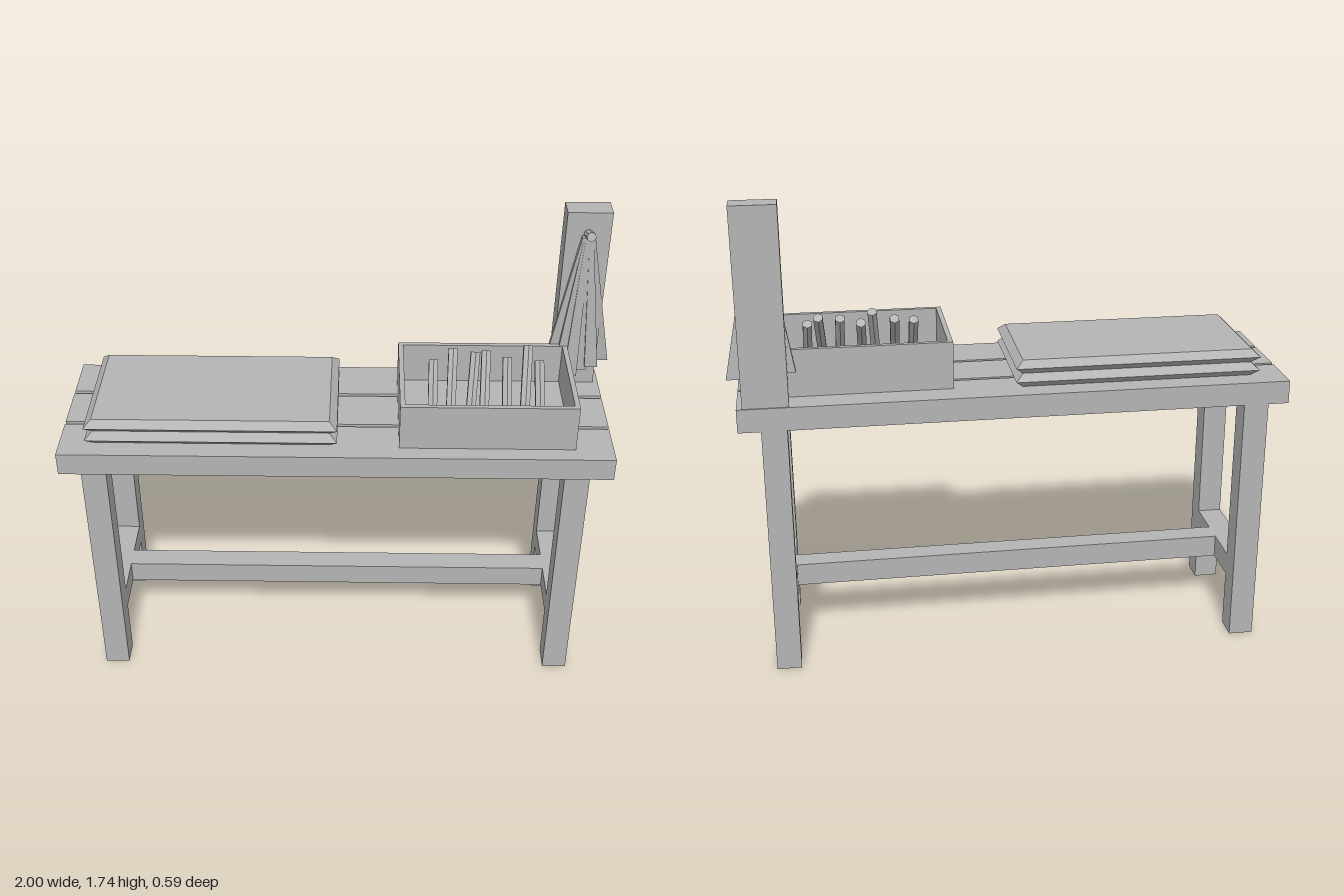
import * as THREE from 'three';

export function createModel() {
  const model = new THREE.Group();
  const grey = new THREE.MeshStandardMaterial({ color: 0xb4b4b4, flatShading: true });
  grey.name = 'plain grey';

  function add(name, geometry, parent = model) {
    const mesh = new THREE.Mesh(geometry, grey);
    mesh.name = name;
    parent.add(mesh);
    return mesh;
  }

  function group(name) {
    const g = new THREE.Group();
    g.name = name;
    model.add(g);
    return g;
  }

  // Box given by its limits on each axis
  function block(name, x0, x1, y0, y1, z0, z1, parent) {
    const mesh = add(name, new THREE.BoxGeometry(x1 - x0, y1 - y0, z1 - z0), parent);
    mesh.position.set((x0 + x1) / 2, (y0 + y1) / 2, (z0 + z1) / 2);
    return mesh;
  }

  // Leaning strip from a lower to an upper point, tapering in width
  function strip(name, low, high, lowWidth, highWidth, depth, parent) {
    const geo = new THREE.BoxGeometry(1, 1, depth);
    const p = geo.attributes.position;
    for (let i = 0; i < p.count; i++) {
      const t = p.getY(i) + 0.5;
      const mix = (k) => THREE.MathUtils.lerp(low[k], high[k], t);
      const width = THREE.MathUtils.lerp(lowWidth, highWidth, t);
      p.setXYZ(i, mix(0) + p.getX(i) * width, mix(1), mix(2) + p.getZ(i));
    }
    geo.computeVertexNormals();
    return add(name, geo, parent);
  }

  // Round stick between two points
  function stick(name, from, to, radius, sides, parent) {
    const a = new THREE.Vector3(...from);
    const b = new THREE.Vector3(...to);
    const dir = b.clone().sub(a);
    const mesh = add(name, new THREE.CylinderGeometry(radius, radius, dir.length(), sides), parent);
    mesh.position.copy(a).add(b).multiplyScalar(0.5);
    mesh.quaternion.setFromUnitVectors(new THREE.Vector3(0, 1, 0), dir.normalize());
    return mesh;
  }

  // Bench top: three planks with narrow gaps
  const top = group('benchTop');
  for (const [z0, z1] of [[-0.295, -0.11], [-0.095, 0.09], [0.105, 0.295]]) {
    block('plank', -1, 0.97, 0.945, 1.03, z0, z1, top);
  }

  // Legs, end stretchers and the long rail
  const frame = group('frame');
  for (const x of [-0.925, 0.8]) {
    block('frontLeg', x, x + 0.09, 0, 0.945, 0.18, 0.27, frame);
    block('backLeg', x, x + 0.09, 0, 0.945, -0.295, -0.205, frame);
    block('endStretcher', x, x + 0.09, 0.215, 0.3, -0.205, 0.18, frame);
  }
  block('longRail', -0.835, 0.8, 0.215, 0.3, -0.055, 0.03, frame);

  // Two stacked pads with bevelled edges
  const pads = group('pads');
  for (const y of [1.03, 1.08]) {
    const geo = new THREE.BoxGeometry(0.895, 0.05, 0.48, 1, 2, 1);
    const p = geo.attributes.position;
    for (let i = 0; i < p.count; i++) {
      if (Math.abs(p.getY(i)) < 0.01) continue;
      p.setX(i, p.getX(i) - Math.sign(p.getX(i)) * 0.027);
      p.setZ(i, p.getZ(i) - Math.sign(p.getZ(i)) * 0.027);
    }
    geo.computeVertexNormals();
    add('pad', geo, pads).position.set(-0.457, y + 0.025, 0.005);
  }

  // Open tray
  const tray = group('tray');
  block('trayFloor', 0.21, 0.835, 1.031, 1.05, -0.195, 0.235, tray);
  block('trayFront', 0.21, 0.835, 1.05, 1.205, 0.217, 0.235, tray);
  block('trayBack', 0.21, 0.835, 1.05, 1.205, -0.195, -0.177, tray);
  block('traySide', 0.21, 0.228, 1.05, 1.205, -0.177, 0.217, tray);
  block('traySide', 0.817, 0.835, 1.05, 1.205, -0.177, 0.217, tray);

  // Sticks leaning back inside the tray: foot x, tip x, tip y, tip z
  const sticks = group('sticks');
  const leaning = [
    [0.33, 0.333, 1.24, -0.02], [0.395, 0.405, 1.26, -0.065], [0.465, 0.482, 1.275, -0.02],
    [0.515, 0.525, 1.25, -0.065], [0.598, 0.597, 1.255, -0.02], [0.66, 0.675, 1.275, -0.065],
    [0.718, 0.713, 1.24, -0.02],
  ];
  for (const [footX, tipX, tipY, tipZ] of leaning) {
    stick('stick', [footX, 1.065, 0.11], [tipX, tipY, tipZ], 0.019, 6, sticks);
  }

  // Upright post with a peg
  block('post', 0.79, 0.95, 1.03, 1.735, -0.29, -0.205);
  stick('peg', [0.87, 1.65, -0.215], [0.87, 1.675, -0.137], 0.017, 8);

  // Fan of strips hanging from the peg: foot x, foot y, foot z
  const strips = group('hangingStrips');
  const feet = [
    [0.785, 1.13, -0.21], [0.82, 1.11, -0.19], [0.855, 1.08, -0.18],
    [0.89, 1.1, -0.19], [0.93, 1.12, -0.18], [0.975, 1.12, -0.23],
  ];
  feet.forEach(([x, y, z], i) => {
    const highX = 0.855 + i * 0.006;
    strip('strip', [x, y, z], [highX, 1.65, -0.19], 0.048, 0.016, 0.018, strips);
  });

  return model;
}
